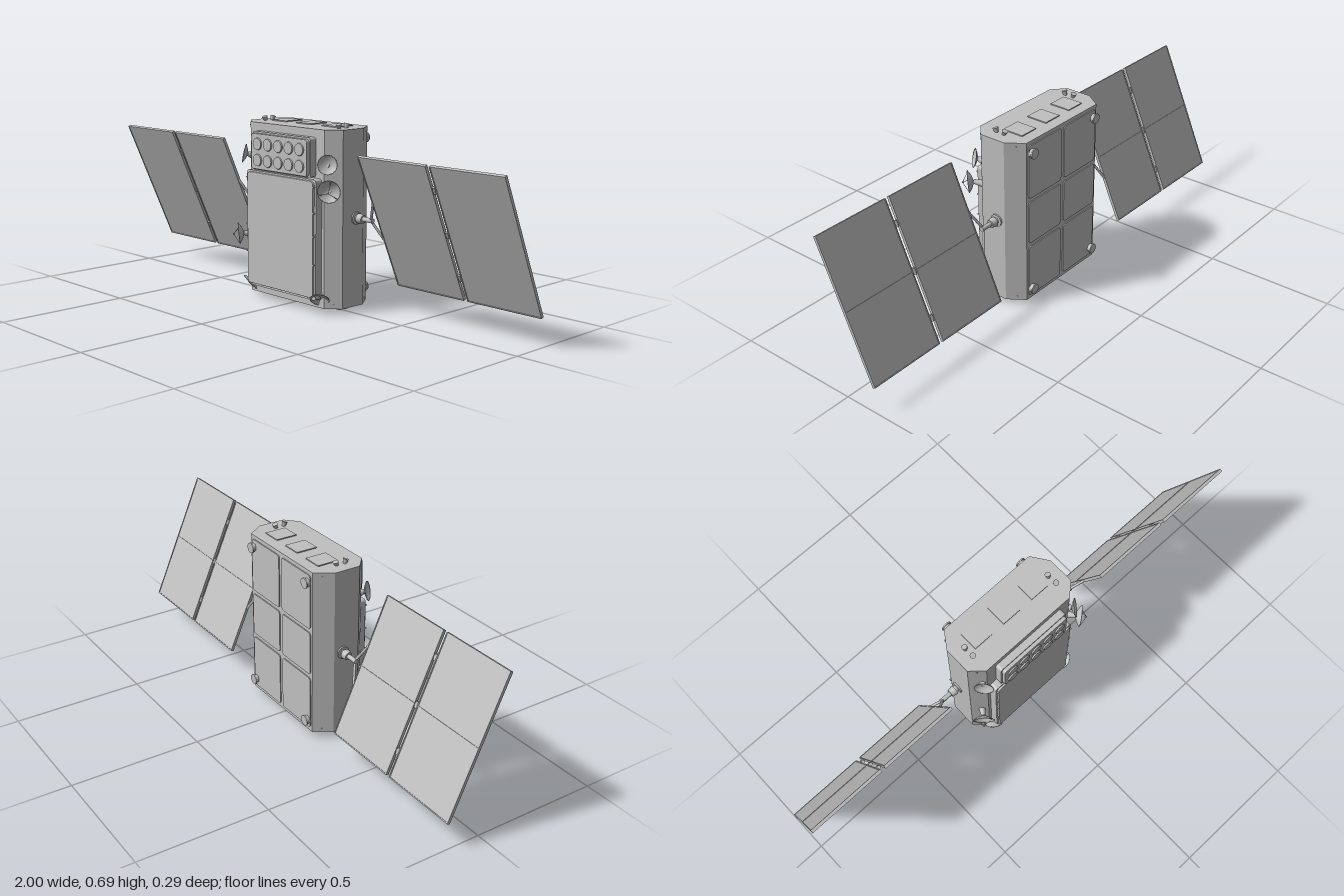
import * as THREE from 'three';

const grey = new THREE.MeshStandardMaterial({ color: 0xc0c0c0 });
grey.name = 'satelliteGrey';
const greyThin = grey; // one colour for the whole craft
greyThin.side = THREE.DoubleSide;

const V = (x, y, z) => new THREE.Vector3(x, y, z);
const UP = V(0, 1, 0);

function add(parent, name, geometry, x = 0, y = 0, z = 0) {
  const mesh = new THREE.Mesh(geometry, grey);
  mesh.name = name;
  mesh.position.set(x, y, z);
  parent.add(mesh);
  return mesh;
}

const box = (w, h, d) => new THREE.BoxGeometry(w, h, d);

// Cylinder or cone between two points
function rod(parent, name, a, b, r0, r1 = r0, sides = 12) {
  const d = b.clone().sub(a);
  const mesh = add(parent, name, new THREE.CylinderGeometry(r1, r0, d.length(), sides));
  mesh.position.copy(a).addScaledVector(d, 0.5);
  mesh.quaternion.setFromUnitVectors(UP, d.normalize());
  return mesh;
}

// Rounded slab in the xy plane, rising from z = 0
function slab(w, h, r, depth, bevel = 0) {
  const s = new THREE.Shape();
  const x = w / 2 - bevel, y = h / 2 - bevel;
  s.moveTo(-x + r, -y);
  s.lineTo(x - r, -y);
  s.absarc(x - r, -y + r, r, -Math.PI / 2, 0);
  s.absarc(x - r, y - r, r, 0, Math.PI / 2);
  s.absarc(-x + r, y - r, r, Math.PI / 2, Math.PI);
  s.absarc(-x + r, -y + r, r, Math.PI, Math.PI * 1.5);
  return new THREE.ExtrudeGeometry(s, {
    depth: depth - bevel, curveSegments: 6, bevelEnabled: bevel > 0,
    bevelSize: bevel, bevelThickness: bevel, bevelSegments: 2,
  });
}

// Shallow dish opening along +y with rim at y = 0
function dishGeometry(radius, depth) {
  const pts = [];
  for (let i = 0; i <= 6; i++) pts.push(new THREE.Vector2(radius * i / 6, depth * ((i / 6) ** 2 - 1)));
  return new THREE.LatheGeometry(pts, 28);
}

function addDish(parent, name, centre, normal, radius, depth, hasFeed, stem) {
  const dish = new THREE.Group();
  dish.name = name;
  dish.position.copy(centre);
  dish.quaternion.setFromUnitVectors(UP, normal.clone().normalize());
  add(dish, 'dishBowl', dishGeometry(radius, depth));
  add(dish, 'dishRim', new THREE.TorusGeometry(radius, 0.0012, 6, 28)).rotation.x = Math.PI / 2;
  if (hasFeed) {
    const tip = V(0, 0.022, 0);
    for (let i = 0; i < 3; i++) {
      const a = i * Math.PI * 2 / 3;
      rod(dish, 'feedStrut', V(radius * Math.cos(a), 0, radius * Math.sin(a)), tip, 0.001, 0.001, 6);
    }
    rod(dish, 'feedHorn', V(0, 0.016, 0), V(0, 0.024, 0), 0.003);
  }
  parent.add(dish);
  const back = centre.clone().addScaledVector(normal.clone().normalize(), -depth);
  rod(parent, name + 'Stem', stem, back, 0.014, 0.008, 16);
}

function solarWing(side) {
  const wing = new THREE.Group();
  wing.name = side > 0 ? 'leftSolarWing' : 'rightSolarWing';
  wing.position.set(0, 0.35, -0.023);
  wing.rotation.x = 0.418;
  for (const [x0, x1] of [[0.365, 0.674], [0.69, 1]]) {
    const w = x1 - x0, cx = side * (x0 + x1) / 2;
    add(wing, 'solarPanel', box(w - 0.004, 0.536, 0.008), cx, 0, 0);
    // Raised frame and middle rib
    for (const s of [-1, 1]) {
      add(wing, 'panelFrameLong', box(0.004, 0.54, 0.012), cx + s * (w / 2 - 0.002), 0, 0);
      add(wing, 'panelFrameShort', box(w, 0.004, 0.012), cx, s * 0.268, 0);
    }
    add(wing, 'panelRib', box(w, 0.004, 0.003), cx, 0, -0.005);
  }
  // Hinges joining the two panels
  for (const y of [-0.175, 0, 0.175]) {
    rod(wing, 'hingePin', V(side * 0.682, y - 0.012, 0), V(side * 0.682, y + 0.012, 0), 0.007);
    add(wing, 'hingeLeaf', box(0.022, 0.01, 0.006), side * 0.682, y, 0);
  }
  // Forked yoke
  rod(wing, 'yokeArm', V(side * 0.28, 0, 0), V(side * 0.335, 0, 0), 0.009);
  for (const s of [-1, 1]) {
    rod(wing, 'yokeFork', V(side * 0.325, 0, 0), V(side * 0.368, s * 0.085, 0), 0.005);
  }
  // Rotating drive hub
  rod(wing, 'driveBase', V(side * 0.245, 0, 0), V(side * 0.256, 0, 0), 0.024, 0.024, 28);
  rod(wing, 'driveShaft', V(side * 0.25, 0, 0), V(side * 0.27, 0, 0), 0.013, 0.013, 20);
  rod(wing, 'driveCollar', V(side * 0.266, 0, 0), V(side * 0.288, 0, 0), 0.019, 0.015, 24);
  return wing;
}

export function createModel() {
  const model = new THREE.Group();
  model.name = 'satellite';

  // Chamfered body, extruded upwards
  const plan = [[0.25, 0.045], [0.2, 0.09], [-0.2, 0.09], [-0.25, 0.045],
    [-0.25, -0.06], [-0.205, -0.125], [0.205, -0.125], [0.25, -0.06]];
  const outline = new THREE.Shape(plan.map(([x, z]) => new THREE.Vector2(x, -z)));
  const bodyGeometry = new THREE.ExtrudeGeometry(outline, { depth: 0.655, bevelEnabled: false });
  bodyGeometry.rotateX(-Math.PI / 2);
  add(model, 'body', bodyGeometry, 0, 0.02, 0);

  // Large front panel
  add(model, 'frontPanelBase', slab(0.376, 0.445, 0.012, 0.03), 0, 0.275, 0.09);
  add(model, 'frontPanelCover', slab(0.36, 0.43, 0.012, 0.008, 0.003), 0, 0.276, 0.12);
  for (const s of [-1, 1]) {
    for (const y of [0.07, 0.185, 0.29, 0.375, 0.47]) {
      rod(model, 'panelBolt', V(s * 0.182, y, 0.118), V(s * 0.182, y, 0.129), 0.003, 0.003, 8);
    }
  }

  // Antenna box with two rows of round elements
  add(model, 'antennaBoxBase', slab(0.316, 0.145, 0.012, 0.027), 0, 0.573, 0.09);
  add(model, 'antennaBoxCover', slab(0.304, 0.134, 0.01, 0.014, 0.003), 0, 0.572, 0.117);
  for (const y of [0.54, 0.601]) {
    for (let i = -2; i <= 2; i++) {
      rod(model, 'antennaElement', V(i * 0.057, y, 0.128), V(i * 0.057, y, 0.136), 0.024, 0.022, 24);
    }
  }

  // Tracking dishes and small corner dishes
  addDish(model, 'upperTrackingDish', V(0.247, 0.46, 0.113), V(0.65, -0.1, 0.75), 0.041, 0.018, true, V(0.215, 0.453, 0.068));
  addDish(model, 'lowerTrackingDish', V(-0.247, 0.24, 0.113), V(-0.65, -0.1, 0.75), 0.041, 0.018, true, V(-0.215, 0.233, 0.068));
  for (const s of [-1, 1]) {
    addDish(model, 'upperCornerDish', V(s * 0.226, 0.553, 0.1), V(s * 0.72, 0.2, 0.66), 0.035, 0.012, false, V(s * 0.21, 0.545, 0.075));
    addDish(model, 'lowerCornerDish', V(s * 0.192, 0.055, 0.104), V(s * 0.45, -0.68, 0.58), 0.035, 0.012, false, V(s * 0.18, 0.07, 0.088));
  }

  // Thrusters and access plates on the top and bottom
  for (const [y, dir] of [[0.675, 1], [0.02, -1]]) {
    for (const x of [-0.2, 0.2]) {
      for (const s of [-1, 1]) {
        const z = -0.002 + s * 0.016;
        rod(model, 'thruster', V(x, y - dir * 0.003, z), V(x, y + dir * 0.015, z + s * 0.006), 0.006, 0.011, 16);
      }
    }
    for (const x of [-0.135, 0, 0.135]) {
      add(model, 'accessPlate', box(0.078, 0.005, 0.085), x, y + dir * 0.0015, -0.038);
    }
  }

  // Rear radiator plates and mounting feet
  for (const s of [-1, 1]) {
    for (const [y0, y1] of [[0.035, 0.247], [0.263, 0.433], [0.449, 0.66]]) {
      add(model, 'radiatorPlate', slab(0.187, y1 - y0, 0.012, 0.005), s * 0.102, (y0 + y1) / 2, -0.129);
    }
    for (const y of [0.065, 0.63]) {
      rod(model, 'mountingFoot', V(s * 0.18, y, -0.123), V(s * 0.18, y, -0.142), 0.016, 0.016, 20);
      rod(model, 'footFlange', V(s * 0.18, y, -0.14), V(s * 0.18, y, -0.145), 0.02, 0.02, 20);
    }
    // Bolts on the chamfered corners
    for (const y of [0.035, 0.66]) {
      rod(model, 'cornerBolt', V(s * 0.222, y, 0.064), V(s * 0.227, y, 0.069), 0.003, 0.003, 8);
      rod(model, 'cornerBolt', V(s * 0.223, y, -0.094), V(s * 0.228, y, -0.097), 0.003, 0.003, 8);
    }
    model.add(solarWing(s));
  }
  return model;
}
